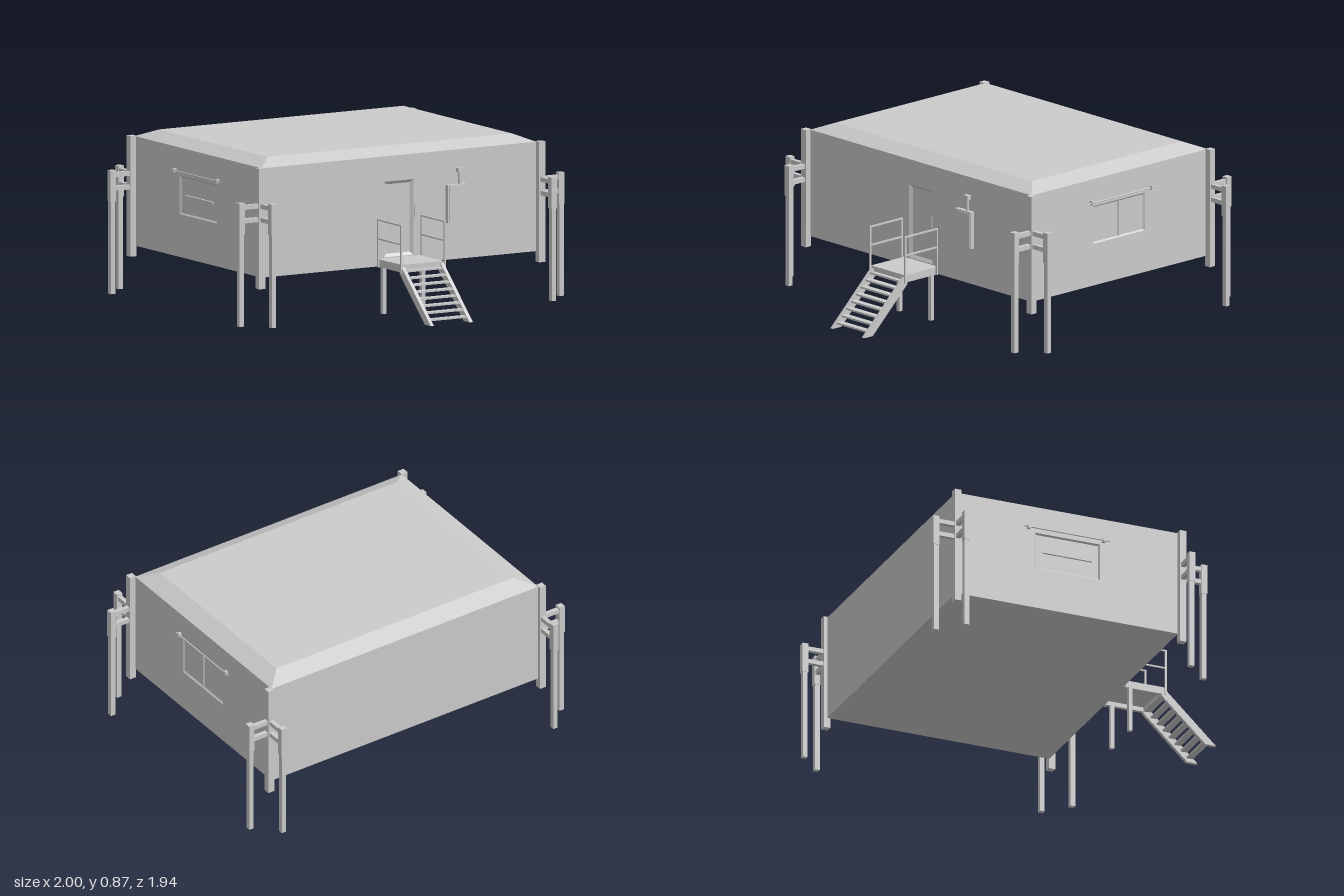
import * as THREE from 'three';

const grey = new THREE.MeshStandardMaterial({ color: 0xcccccc, side: THREE.DoubleSide });
const WX = 0.845, Y0 = 0.245, Y1 = 0.825, ZB = -0.83, ZF = 0.437;

function add(parent, name, geometry) {
  const mesh = new THREE.Mesh(geometry, grey);
  mesh.name = name;
  parent.add(mesh);
  return mesh;
}

// Box given by its minimum and maximum on each axis
function box(parent, name, x0, x1, y0, y1, z0, z1) {
  const mesh = add(parent, name, new THREE.BoxGeometry(x1 - x0, y1 - y0, z1 - z0));
  mesh.position.set((x0 + x1) / 2, (y0 + y1) / 2, (z0 + z1) / 2);
  return mesh;
}

// Upright square post
function post(parent, name, x, z, y0, y1, w) {
  return box(parent, name, x - w / 2, x + w / 2, y0, y1, z - w / 2, z + w / 2);
}

// Round bar between two points
function bar(parent, name, a, b, r) {
  const curve = new THREE.LineCurve3(new THREE.Vector3(...a), new THREE.Vector3(...b));
  return add(parent, name, new THREE.TubeGeometry(curve, 1, r, 8));
}

// Four-sided band between two rectangles, each [x0, x1, y0, y1, z]
function band(outer, inner) {
  const corners = ([x0, x1, y0, y1, z]) => [[x0, y0, z], [x1, y0, z], [x1, y1, z], [x0, y1, z]];
  const o = corners(outer), n = corners(inner), pos = [];
  for (let i = 0; i < 4; i++) {
    const j = (i + 1) % 4;
    pos.push(...o[i], ...o[j], ...n[j], ...o[i], ...n[j], ...n[i]);
  }
  const geo = new THREE.BufferGeometry();
  geo.setAttribute('position', new THREE.Float32BufferAttribute(pos, 3));
  geo.computeVertexNormals();
  return geo;
}

function flatRect(parent, name, x0, x1, y0, y1, z) {
  const mesh = add(parent, name, new THREE.PlaneGeometry(x1 - x0, y1 - y0));
  mesh.position.set((x0 + x1) / 2, (y0 + y1) / 2, z);
}

// Wall in its own xy plane facing +z, with an optional bevelled recess [x0, x1, y0, y1]
function wall(parent, name, x0, x1, hole, bevel = 0.015, depth = 0.012) {
  const g = new THREE.Group();
  g.name = name;
  parent.add(g);
  if (!hole) {
    flatRect(g, name + 'Face', x0, x1, Y0, Y1, 0);
    return g;
  }
  const [a, b, c, d] = hole;
  const inner = [a + bevel, b - bevel, c + bevel, d - bevel, -depth];
  add(g, name + 'Face', band([x0, x1, Y0, Y1, 0], [a, b, c, d, 0]));
  add(g, name + 'Reveal', band([a, b, c, d, 0], inner));
  flatRect(g, name + 'Panel', ...inner);
  return g;
}

function addCabin(root) {
  const cabin = new THREE.Group();
  cabin.name = 'cabin';
  root.add(cabin);

  wall(cabin, 'frontWall', -WX, WX, [-0.09, 0.09, 0.29, 0.69], 0.016).position.z = ZF;
  const back = wall(cabin, 'backWall', -WX, WX);
  back.rotation.y = Math.PI;
  back.position.z = ZB;
  bar(cabin, 'doorHandle', [0.093, 0.49, ZF + 0.008], [0.093, 0.552, ZF + 0.008], 0.004);

  // Floor and hipped roof
  const floor = add(cabin, 'floor', new THREE.PlaneGeometry(WX * 2, ZF - ZB));
  floor.rotation.x = Math.PI / 2;
  floor.position.set(0, Y0, (ZF + ZB) / 2);
  const roof = new THREE.Group();
  roof.name = 'roof';
  roof.rotation.x = -Math.PI / 2;
  cabin.add(roof);
  const top = [-0.75, 0.75, -0.345, 0.735, 0.865];
  add(roof, 'roofSlopes', band([-WX, WX, -ZF, -ZB, Y1], top));
  flatRect(roof, 'roofTop', ...top);

  // Side walls with a recessed window and an awning rod
  for (const s of [1, -1]) {
    const u = z => -s * z; // z along the building to local x
    const span = (z0, z1) => [Math.min(u(z0), u(z1)), Math.max(u(z0), u(z1))];
    const side = wall(cabin, s > 0 ? 'leftWall' : 'rightWall', ...span(ZB, ZF),
      [...span(-0.378, -0.008), 0.472, 0.677], 0.008, 0.008);
    side.rotation.y = s * Math.PI / 2;
    side.position.x = s * WX;
    const mid = u(-0.193);
    if (s > 0) box(side, 'windowMullion', mid - 0.004, mid + 0.004, 0.48, 0.669, -0.008, 0);
    else box(side, 'windowBar', mid - 0.14, mid + 0.14, 0.568, 0.58, -0.008, 0.003);
    bar(side, 'windowRod', [u(0.04), 0.7, 0.013], [u(-0.445), 0.7, 0.013], 0.004);
    for (const z of [0.012, -0.417]) {
      box(side, 'rodBracket', u(z) - 0.007, u(z) + 0.007, 0.69, 0.711, 0, 0.02);
    }
  }

  // Service box and its conduit
  box(cabin, 'serviceBox', 0.287, 0.404, 0.442, 0.643, ZF, 0.462);
  box(cabin, 'serviceBoxDoor', 0.294, 0.397, 0.449, 0.636, 0.462, 0.465);
  bar(cabin, 'conduit', [0.367, 0.64, 0.448], [0.367, 0.712, 0.448], 0.008);
  box(cabin, 'conduitCap', 0.351, 0.383, 0.706, 0.728, ZF, 0.462);
}

// Corner post with two braced legs, one outward in x and one in z
function addCorner(root, sx, sz) {
  const g = new THREE.Group();
  g.name = 'cornerSupport';
  g.position.set(sx * 0.861, 0, sz > 0 ? 0.452 : -0.832);
  root.add(g);
  post(g, 'cornerPost', 0, 0, 0.19, 0.829, 0.037);
  for (const [dx, dz] of [[sx, 0], [0, sz]]) {
    const d = 0.122;
    post(g, 'legSleeve', dx * d, dz * d, 0.49, 0.655, 0.034);
    post(g, 'leg', dx * d, dz * d, 0, 0.49, 0.027);
    for (const y of [0.63, 0.558]) {
      const w = 0.024;
      const rail = add(g, 'legBrace', new THREE.BoxGeometry(dx ? d : w, w, dz ? d : w));
      rail.position.set(dx * d / 2, y, dz * d / 2);
    }
  }
}

function addStairs(root) {
  const g = new THREE.Group();
  g.name = 'entranceStairs';
  root.add(g);
  box(g, 'landing', -0.125, 0.125, 0.268, 0.285, ZF, 0.675);
  box(g, 'landingFrontBeam', -0.12, 0.12, 0.245, 0.268, 0.657, 0.672);

  // Stringer outline in (z, y), swept across its thickness
  const outline = [[0.965, 0], [0.665, 0.283], [0.655, 0.235], [0.905, 0]];
  const shape = new THREE.Shape(outline.map(([z, y]) => new THREE.Vector2(-z, y)));
  for (const s of [-1, 1]) {
    const stringer = add(g, 'stringer', new THREE.ExtrudeGeometry(shape, { depth: 0.02, bevelEnabled: false }));
    stringer.rotation.y = Math.PI / 2;
    stringer.position.x = s * 0.12 - 0.01;
    box(g, 'landingSideBeam', s * 0.12 - 0.01, s * 0.12 + 0.01, 0.244, 0.284, ZF, 0.67);
    post(g, 'landingLeg', s * 0.12, 0.478, 0, 0.25, 0.022);

    // Handrail
    const x = s * 0.134;
    for (const z of [0.448, 0.676]) post(g, 'railPost', x, z, 0.243, 0.498, 0.009);
    for (const y of [0.494, 0.394]) box(g, 'handrail', x - 0.004, x + 0.004, y - 0.004, y + 0.004, 0.448, 0.676);
  }

  // Treads
  for (let i = 0; i < 8; i++) {
    const y = 0.026 + i * 0.0322, z = 0.921 - i * 0.0343;
    box(g, 'tread', -0.112, 0.112, y - 0.005, y + 0.005, z - 0.019, z + 0.017);
  }
}

export function createModel() {
  const root = new THREE.Group();
  root.name = 'raisedCabin';
  addCabin(root);
  for (const sx of [-1, 1]) for (const sz of [-1, 1]) addCorner(root, sx, sz);
  addStairs(root);
  return root;
}
